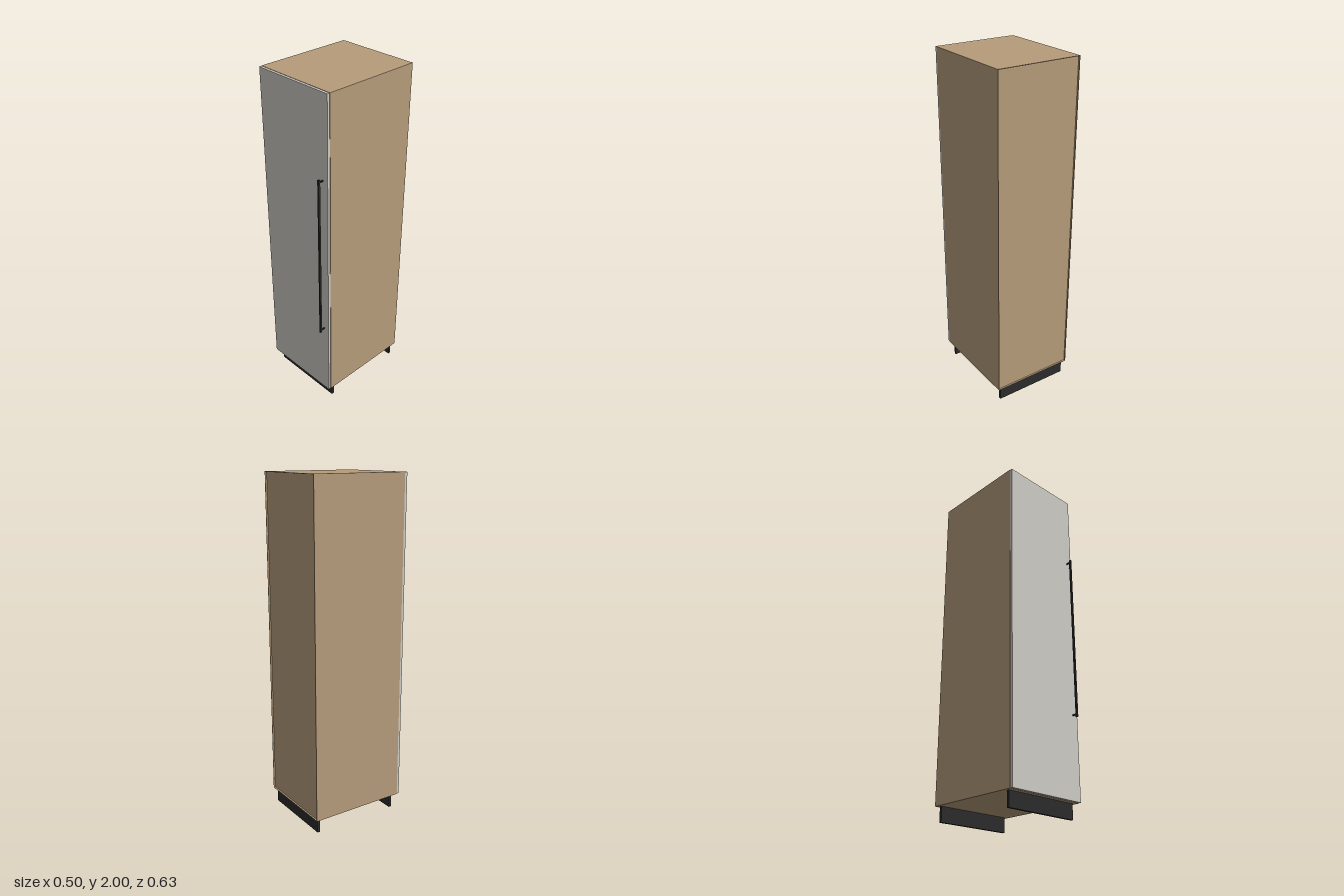
import * as THREE from 'three';

export function createModel() {
  const group = new THREE.Group();
  const wood = new THREE.MeshStandardMaterial({ color: 0xb59b7a });
  const white = new THREE.MeshStandardMaterial({ color: 0xcdcac4 });
  const black = new THREE.MeshStandardMaterial({ color: 0x2b2b2b });

  // Box given by its minimum and maximum corners
  function box(name, material, [x0, y0, z0], [x1, y1, z1], parent = group) {
    const mesh = new THREE.Mesh(new THREE.BoxGeometry(x1 - x0, y1 - y0, z1 - z0), material);
    mesh.position.set((x0 + x1) / 2, (y0 + y1) / 2, (z0 + z1) / 2);
    mesh.name = name;
    parent.add(mesh);
  }

  const W = 0.25, bottom = 0.085, top = 2, back = -0.316, front = 0.265;
  const t = 0.003, recess = 0.01;

  // Carcass with a slightly recessed back
  const carcass = new THREE.Group();
  carcass.name = 'carcass';
  group.add(carcass);
  box('rightSide', wood, [-W, bottom, back], [-W + t, top, front], carcass);
  box('leftSide', wood, [W - t, bottom, back], [W, top, front], carcass);
  box('topPanel', wood, [-W + t, top - t, back], [W - t, top, front], carcass);
  box('bottomPanel', wood, [-W + t, bottom, back], [W - t, bottom + t, front], carcass);
  box('backPanel', wood, [-W + t, bottom + t, back + recess], [W - t, top - t, back + recess + t], carcass);

  // Full-height door
  box('door', white, [-0.248, bottom + 0.001, front + 0.001], [0.248, top - 0.001, 0.281]);

  // Long bar handle on two posts
  const handle = new THREE.Group();
  handle.name = 'handle';
  group.add(handle);
  box('handleBar', black, [0.208, 0.545, 0.304], [0.218, 1.545, 0.315], handle);
  for (const y of [0.56, 1.53]) {
    box('handlePost', black, [0.2095, y - 0.0035, 0.281], [0.2165, y + 0.0035, 0.304], handle);
  }

  // Plinth boards, front and back
  box('frontPlinth', black, [-0.23, 0, 0.222], [0.23, bottom, 0.238]);
  box('backPlinth', black, [-0.23, 0, -0.299], [0.23, bottom, -0.283]);

  return group;
}
